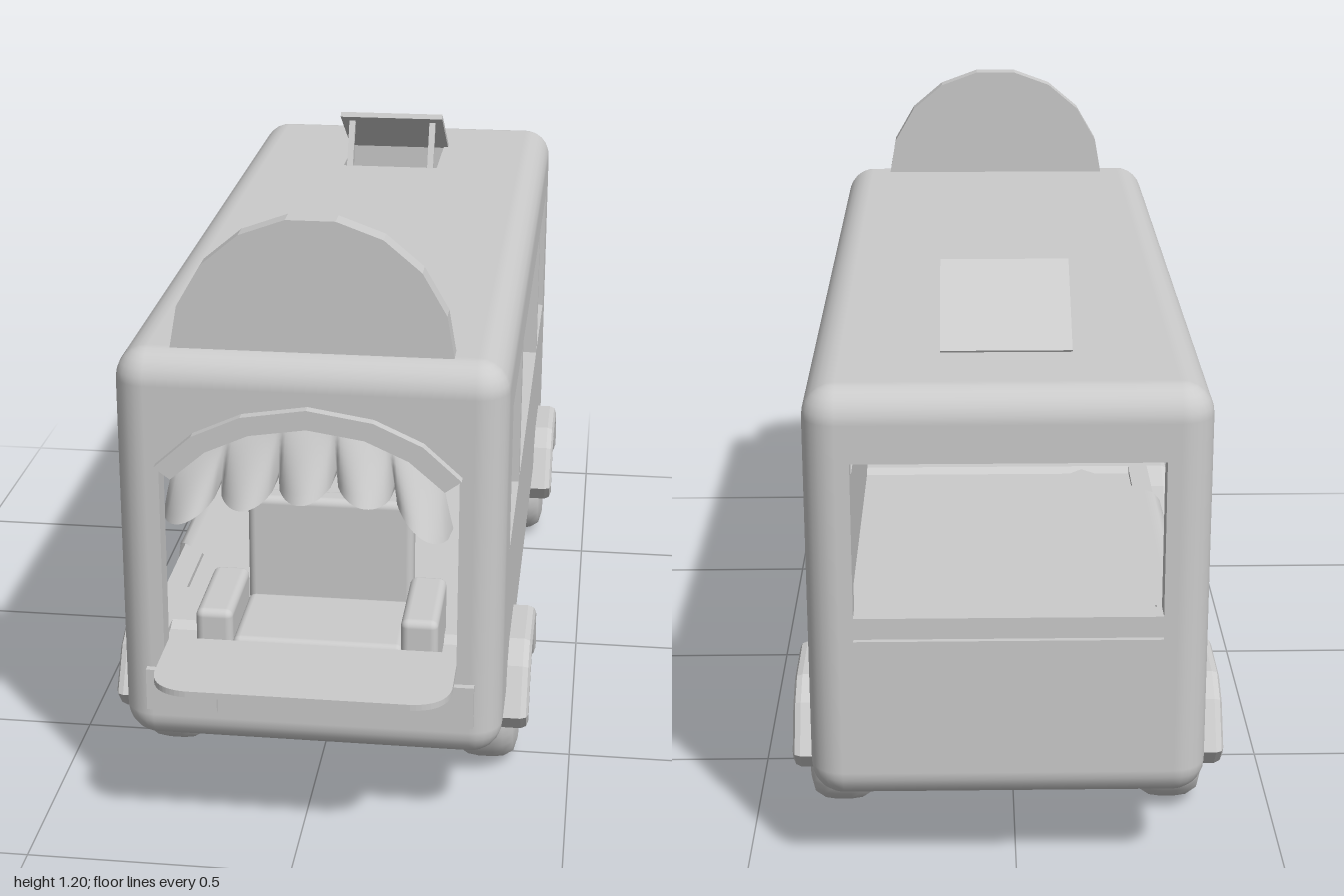
import * as THREE from 'three';
import { RoundedBoxGeometry } from 'three/addons/geometries/RoundedBoxGeometry.js';

const grey = new THREE.MeshStandardMaterial({ color: 0xcccccc });
const thin = new THREE.MeshStandardMaterial({ color: 0xcccccc, side: THREE.DoubleSide });

// Body limits, edge radius, wall thickness and wheel stations
const X0 = -0.345, X1 = 0.375, Y0 = 0.165, Y1 = 0.95, Z0 = -0.99, Z1 = 0.84;
const R = 0.06, T = 0.045, CX = 0.015, H = Math.PI / 2;
const WHEELS = [0.5, -0.645];

export function createModel() {
  const root = new THREE.Group();
  const add = (name, geo, pos = [0, 0, 0], mat = grey, parent = root) => {
    const m = new THREE.Mesh(geo, mat);
    m.name = name;
    m.position.set(...pos);
    parent.add(m);
    return m;
  };
  const group = (name) => {
    const g = new THREE.Group();
    g.name = name;
    root.add(g);
    return g;
  };
  const pts = (list) => list.map(([a, b]) => new THREE.Vector2(a, b));
  const rect = (a0, a1, b0, b1) => [[a0, b0], [a1, b0], [a1, b1], [a0, b1]];
  const slab = (outline, holes, depth) => {
    const s = new THREE.Shape(pts(outline));
    holes.forEach((h) => s.holes.push(new THREE.Path(pts(h))));
    return new THREE.ExtrudeGeometry(s, { depth, bevelEnabled: false });
  };
  const box = (name, x0, x1, y0, y1, z0, z1, r = 0, parent = root) => {
    const d = [x1 - x0, y1 - y0, z1 - z0];
    const g = r ? new RoundedBoxGeometry(...d, 3, r) : new THREE.BoxGeometry(...d);
    return add(name, g, [(x0 + x1) / 2, (y0 + y1) / 2, (z0 + z1) / 2], grey, parent);
  };

  // ---- Body shell: flat panels with openings, joined by rounded edges
  const body = group('body');
  const bottom = Y0 + R, top = Y1 - R, back = Z0 + R, front = Z1 - R;
  const sideOutline = [[back, bottom]];
  [...WHEELS].reverse().forEach((w) => sideOutline.push(
    [w - 0.133, bottom], [w - 0.067, 0.272], [w + 0.067, 0.272], [w + 0.133, bottom]));
  sideOutline.push([front, bottom], [front, top], [back, top]);
  const windows = [[0.34, 0.67], [-0.455, 0.305], [-0.82, -0.48]].map(([a, b]) => rect(a, b, 0.53, 0.82));
  add('leftWall', slab(sideOutline, windows, T).rotateY(-H), [X1, 0, 0], grey, body);
  add('rightWall', slab(sideOutline, [rect(-0.84, 0.68, 0.295, 0.84)], T).rotateY(-H), [X0 + T, 0, 0], grey, body);

  const endOutline = rect(X0 + R, X1 - R, bottom, top);
  const hatchWindow = [[-0.26, 0.355], [0.29, 0.355], [0.29, 0.735], [0.22, 0.79], [0.13, 0.825],
    [CX, 0.845], [-0.1, 0.825], [-0.19, 0.79], [-0.26, 0.735]];
  add('frontWall', slab(endOutline, [hatchWindow], T), [0, 0, Z1 - T], grey, body);
  add('backWall', slab(endOutline, [rect(-0.26, 0.29, 0.53, 0.82)], T), [0, 0, Z0], grey, body);
  add('roof', slab(rect(X0 + R, X1 - R, back, front), [rect(-0.095, 0.125, -0.75, -0.54)], T).rotateX(H),
    [0, Y1, 0], grey, body);

  // Underside in stretches between the wheel tunnels
  const gap = 0.16;
  const stretches = [[back, WHEELS[1] - gap], [WHEELS[1] + gap, WHEELS[0] - gap], [WHEELS[0] + gap, front]];
  stretches.forEach(([a, b]) => box('underside', X0 + R, X1 - R, Y0, Y0 + T, a, b, 0, body));

  // Rounded edges; quadrant k picks the quarter turn
  const quarter = (len, k) => new THREE.CylinderGeometry(R, R, len, 6, 1, true, k * H, H);
  const xs = [X0 + R, X1 - R], ys = [bottom, top], zs = [back, front];
  [[1, 1], [1, 0], [0, 0], [0, 1]].forEach(([i, j], k) => {
    add('uprightEdge', quarter(top - bottom, k), [xs[i], (top + bottom) / 2, zs[j]], thin, body);
    add('crossEdge', quarter(xs[1] - xs[0], k).rotateZ(H), [CX, ys[i], zs[j]], thin, body);
    const runs = j ? stretches : [[back, front]];
    runs.forEach(([a, b]) => add('longEdge', quarter(b - a, k).rotateX(H),
      [xs[i], ys[1 - j], (a + b) / 2], thin, body));
  });
  [[0, 1], [1, 1], [1, 0], [0, 0]].forEach(([i, j], k) => [0, 1].forEach((up) =>
    add('corner', new THREE.SphereGeometry(R, 6, 6, k * H, H, up ? 0 : H, H), [xs[i], ys[up], zs[j]], thin, body)));
  box('floor', X0 + 0.03, X1 - 0.03, 0.262, 0.284, Z0 + 0.03, Z1 - 0.03, 0, body);

  // ---- Wheel arches across the full width, axles and wheels
  const half = [[0.19, 0.18], [0.135, 0.265], [0.075, 0.295]];
  const halfIn = [[0.06, 0.25], [0.105, 0.225], [0.155, 0.14]];
  const flip = (list) => list.map(([a, b]) => [-a, b]).reverse();
  const archShape = new THREE.Shape(pts([...half, ...flip(half), ...flip(halfIn), ...halfIn]));
  const tyre = [[0, -0.0625], [0.075, -0.0625], [0.1, -0.055], [0.112, -0.036], [0.115, -0.015]];
  const tyreProfile = pts([...tyre, ...tyre.map(([a, b]) => [a, -b]).reverse()]);
  WHEELS.forEach((z, i) => {
    const g = group(i ? 'rearAxleGroup' : 'frontAxleGroup');
    const arch = new THREE.ExtrudeGeometry(archShape, {
      depth: 0.785, bevelThickness: 0.015, bevelSize: 0.014, bevelOffset: -0.014, bevelSegments: 2 });
    add('wheelArch', arch.rotateY(-H), [0.405, 0, z], grey, g);
    add('axle', new THREE.CylinderGeometry(0.02, 0.02, 0.56, 12).rotateZ(H), [CX, 0.12, z], grey, g);
    [-1, 1].forEach((s) => add('wheel', new THREE.LatheGeometry(tyreProfile, 28).rotateZ(H),
      [CX + s * 0.3175, 0.117, z], grey, g));
  });

  // ---- Front: serving shelf, lamps, arched trim and scalloped curtain
  const shelf = new THREE.Shape();
  shelf.moveTo(-0.26, 0.79);
  shelf.lineTo(0.29, 0.79);
  shelf.lineTo(0.29, 0.93);
  shelf.quadraticCurveTo(0.285, 0.995, 0.22, 1);
  shelf.lineTo(-0.19, 1);
  shelf.quadraticCurveTo(-0.255, 0.995, -0.26, 0.93);
  add('servingShelf', new THREE.ExtrudeGeometry(shelf, { depth: 0.012, bevelEnabled: false }).rotateX(H), [0, 0.366, 0]);
  [-1, 1].forEach((s) => box('headlamp', CX + s * 0.242 - 0.067, CX + s * 0.242 + 0.067, 0.243, 0.327, 0.83, 0.853));

  const trimOut = [[0.28, 0.742], [0.21, 0.805], [0.12, 0.846], [0, 0.865]];
  const trimIn = [[0, 0.828], [0.105, 0.812], [0.185, 0.776], [0.25, 0.72]];
  const trim = [...trimOut, ...flip(trimOut).slice(1), ...flip(trimIn), ...trimIn.slice(1)];
  add('curtainTrim', slab(trim, [], 0.025), [CX, 0, 0.835]);

  const curtain = new THREE.PlaneGeometry(1, 1, 80, 8);
  const cp = curtain.attributes.position;
  for (let i = 0; i < cp.count; i++) {
    const u = cp.getX(i), v = 0.5 - cp.getY(i);
    const puff = Math.sqrt(Math.abs(Math.sin(5 * Math.PI * (u + 0.5))));
    const y = 0.835 - 0.36 * u * u - v * (0.125 + 0.01 * Math.cos(9 * u + 1) - 0.03 * (1 - puff));
    cp.setXYZ(i, CX + u * (0.49 + 0.04 * v), y, 0.85 + v * (0.01 + 0.055 * puff) - 0.02 * v * v * (1 - puff));
  }
  curtain.computeVertexNormals();
  add('curtain', curtain, [0, 0, 0], thin);

  // ---- Back plate and half-round roof board
  box('backPlate', -0.26, 0.29, 0.41, 0.49, -1, -0.98);
  const board = [];
  for (let i = 0; i <= 9; i++) board.push([0.26 * Math.cos(i * Math.PI / 9), 0.26 * Math.sin(i * Math.PI / 9)]);
  add('roofBoard', slab(board, [], 0.042), [CX, 0.939, 0.747]);

  // ---- Roof hatch, hinged at the back and propped open
  const tilt = Math.atan2(0.115, 0.19);
  const lid = box('hatchLid', -0.105, 0.135, 0, 0.012, -0.115, 0.115);
  lid.position.set(CX, 1.008, -0.66);
  lid.rotation.x = -tilt;
  [-0.08, 0.11].forEach((x) => {
    const strut = add('hatchStrut', new THREE.BoxGeometry(0.014, 0.13, 0.012), [x, 0.992, -0.561]);
    strut.rotation.x = -0.46;
  });

  // ---- Front bench
  const bench = group('bench');
  box('backrest', -0.15, 0.18, 0.27, 0.555, 0.487, 0.54, 0.015, bench);
  box('seat', -0.15, 0.18, 0.27, 0.345, 0.53, 0.74, 0.015, bench);
  [-0.22, 0.175].forEach((x) => box('armrest', x, x + 0.072, 0.27, 0.4, 0.53, 0.74, 0.015, bench));

  // ---- Square blanket laid cornerwise, one corner hanging over the sill
  const blanket = new THREE.PlaneGeometry(1, 1, 16, 46);
  const bp = blanket.attributes.position;
  for (let i = 0; i < bp.count; i++) {
    const s = bp.getY(i) * 0.92, w = 0.46 - Math.abs(s);
    const flat = -0.185 + s, over = Math.max(0, -0.355 - flat);
    const ripple = 0.004 * Math.sin(bp.getX(i) * 20) * Math.min(1, over * 12);
    bp.setXYZ(i, over ? -0.355 - 0.26 * over + ripple : flat, Math.max(0, 0.302 - over * 1.045),
      -0.075 + bp.getX(i) * 2 * w);
  }
  blanket.computeVertexNormals();
  add('blanket', blanket, [0, 0, 0], thin);

  return root;
}
